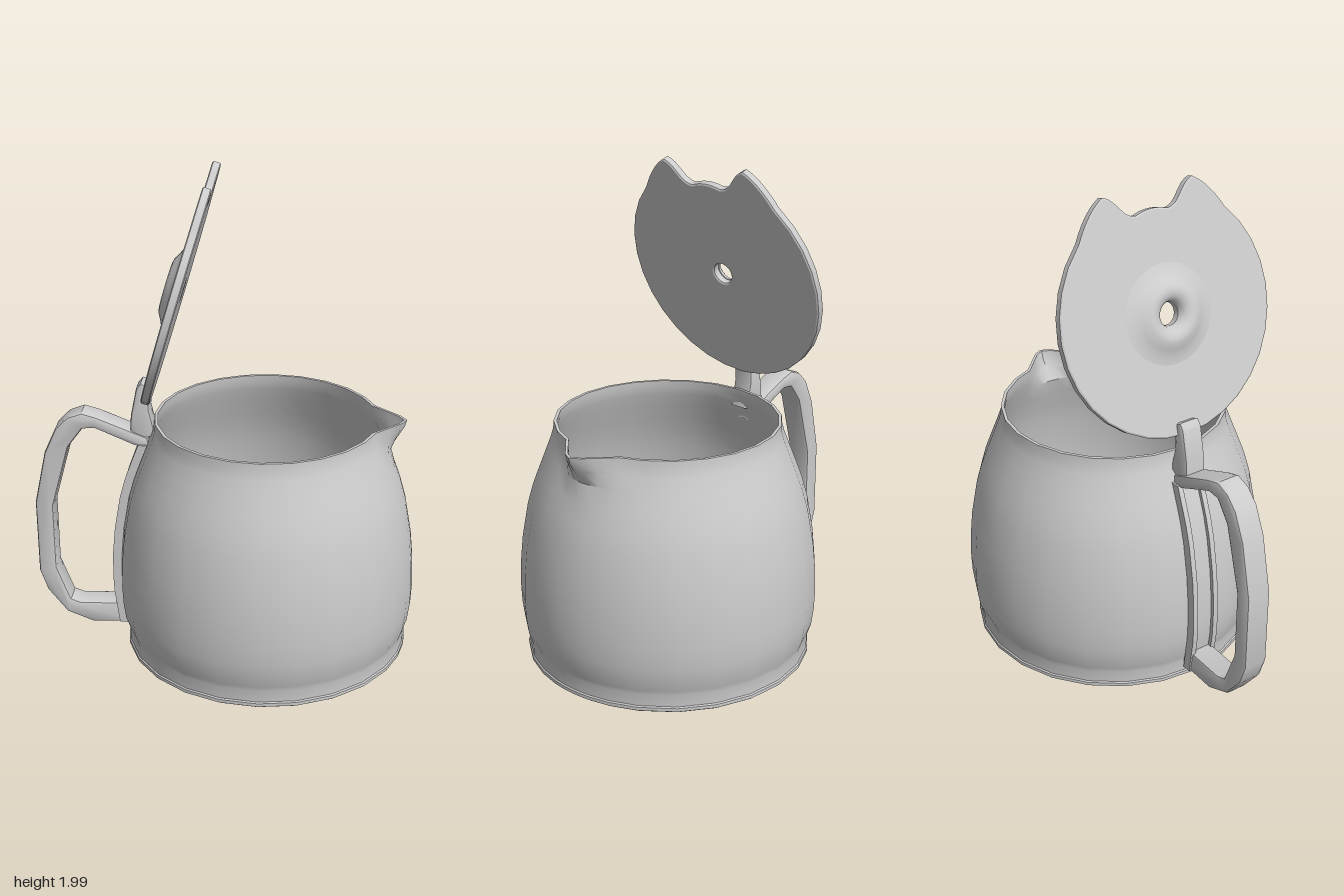
import * as THREE from 'three';
import { toCreasedNormals } from 'three/addons/utils/BufferGeometryUtils.js';

const material = new THREE.MeshStandardMaterial({ color: 0xcccccc, side: THREE.DoubleSide });

function addMesh(parent, name, geometry, crease = 0.6) {
  const mesh = new THREE.Mesh(toCreasedNormals(geometry, crease), material);
  mesh.name = name;
  parent.add(mesh);
  return mesh;
}

// Side outline in x, y, given a width across z
function slab(points, width, bevel = 0.012, z = 0) {
  const shape = new THREE.Shape(points.map(p => new THREE.Vector2(...p)));
  const depth = width - 2 * bevel;
  return new THREE.ExtrudeGeometry(shape, {
    depth, bevelEnabled: bevel > 0, bevelSize: bevel, bevelOffset: -bevel,
    bevelThickness: bevel, bevelSegments: 2,
  }).translate(0, 0, z - depth / 2);
}

// Outer wall of the jug: radius, height
const wall = [
  [0.60, 0.13], [0.609, 0.2], [0.612, 0.28], [0.608, 0.39], [0.597, 0.5], [0.571, 0.645],
  [0.547, 0.73], [0.521, 0.8], [0.49, 0.88], [0.469, 0.935], [0.459, 0.97], [0.457, 1.0],
];

function jugGeometry() {
  const inner = wall.map(([r, y]) => [r - 0.013, y]).reverse();
  const profile = [
    [0, 0], [0.58, 0], [0.588, 0.006], [0.588, 0.02], [0.583, 0.025], [0.583, 0.075],
    [0.588, 0.095], ...wall, ...inner, [0.57, 0.04], [0, 0.04],
  ];
  // Angles from the spout, closer together around it
  const half = [4, 9, 18];
  for (let a = 30; a <= 180; a += 15) half.push(a);
  const angles = [...half.map(a => -a).reverse(), 0, ...half];
  const geometry = new THREE.LatheGeometry(profile.map(p => new THREE.Vector2(...p)), angles.length - 1);
  const pull = { 0: 0.105, 4: 0.085, 9: 0.048 };
  const pos = geometry.attributes.position;
  for (let k = 0; k < pos.count; k++) {
    const angle = angles[Math.floor(k / profile.length)];
    const [r, y] = profile[k % profile.length];
    const flare = THREE.MathUtils.smoothstep(y, 0.85, 1.0);
    const radius = r + (pull[Math.abs(angle)] || 0) * flare;
    const phi = THREE.MathUtils.degToRad(angle) - Math.PI / 2;
    pos.setXYZ(k, radius * Math.sin(phi), y, radius * Math.cos(phi));
  }
  return geometry;
}

function lidGeometry() {
  const R = 0.47;
  const shape = new THREE.Shape();
  // Notched top edge with two horns
  shape.moveTo(-0.07, 0.385);
  shape.quadraticCurveTo(0, 0.41, 0.07, 0.385);
  shape.bezierCurveTo(0.13, 0.385, 0.14, 0.46, 0.2, 0.478);
  shape.quadraticCurveTo(0.27, 0.44, R * Math.cos(0.8), R * Math.sin(0.8));
  // Round rim
  shape.absarc(0, 0, R, 0.8, -Math.PI - 0.8, true);
  shape.quadraticCurveTo(-0.27, 0.44, -0.2, 0.478);
  shape.bezierCurveTo(-0.14, 0.46, -0.13, 0.385, -0.07, 0.385);
  const hole = new THREE.Path();
  hole.absarc(0, 0, 0.045, 0, Math.PI * 2, false);
  shape.holes.push(hole);
  return new THREE.ExtrudeGeometry(shape, {
    depth: 0.027, bevelSize: 0.006, bevelOffset: -0.006, bevelThickness: 0.004,
    bevelSegments: 1, curveSegments: 12,
  }).translate(0, 0, -0.015);
}

export function createModel() {
  const model = new THREE.Group();
  model.name = 'jug';

  // Local +x points to the handle, -x to the spout
  const body = new THREE.Group();
  body.name = 'body';
  body.position.set(0.04, 0, -0.06);
  body.rotation.y = THREE.MathUtils.degToRad(-134);
  model.add(body);

  addMesh(body, 'jugWall', jugGeometry());

  // Handle: one closed loop of outer and inner outline
  addMesh(body, 'handle', slab([
    [0.56, 0.045], [0.74, 0.04], [0.85, 0.085], [0.93, 0.19], [0.96, 0.28], [0.96, 0.6],
    [0.91, 0.83], [0.86, 0.94], [0.81, 0.99], [0.75, 1.012], [0.69, 0.995], [0.48, 0.91],
    [0.48, 0.86], [0.54, 0.875], [0.70, 0.945], [0.75, 0.94], [0.81, 0.86], [0.885, 0.59],
    [0.885, 0.3], [0.83, 0.15], [0.79, 0.135], [0.56, 0.14],
  ], 0.106, 0.014));

  // Strap along the wall, with two raised rails
  const run = [[0.59, 0.05], ...wall.filter(([, y]) => y < 0.92)];
  const along = (out) => [
    ...run.map(([r, y]) => [r + out, y]),
    ...run.map(([r, y]) => [r - 0.006, y]).reverse(),
  ];
  addMesh(body, 'strap', slab(along(0.016), 0.12, 0));
  for (const side of [-1, 1]) addMesh(body, 'strapRail', slab(along(0.032), 0.022, 0, side * 0.049));

  // Hinge between strap and lid
  addMesh(body, 'hinge', slab([
    [0.45, 0.92], [0.52, 0.89], [0.555, 0.93], [0.55, 1.0], [0.525, 1.12], [0.505, 1.145],
    [0.47, 1.13], [0.475, 1.03],
  ], 0.09));

  // Open lid, leaning towards the spout
  const lid = new THREE.Group();
  lid.name = 'lid';
  lid.position.set(0.35, 1.53, 0);
  lid.rotation.z = 0.288;
  body.add(lid);
  addMesh(lid, 'lidPlate', lidGeometry(), 0.5).rotation.y = Math.PI / 2;

  // Raised ring around the hole
  const ring = [[0.2, 0], [0.165, 0.006], [0.135, 0.02], [0.11, 0.034], [0.09, 0.038],
    [0.068, 0.032], [0.052, 0.018], [0.045, 0]].map(p => new THREE.Vector2(...p));
  const boss = addMesh(lid, 'lidRing', new THREE.LatheGeometry(ring, 24), 0.9);
  boss.rotation.z = -Math.PI / 2;
  boss.position.x = 0.015;

  return model;
}
